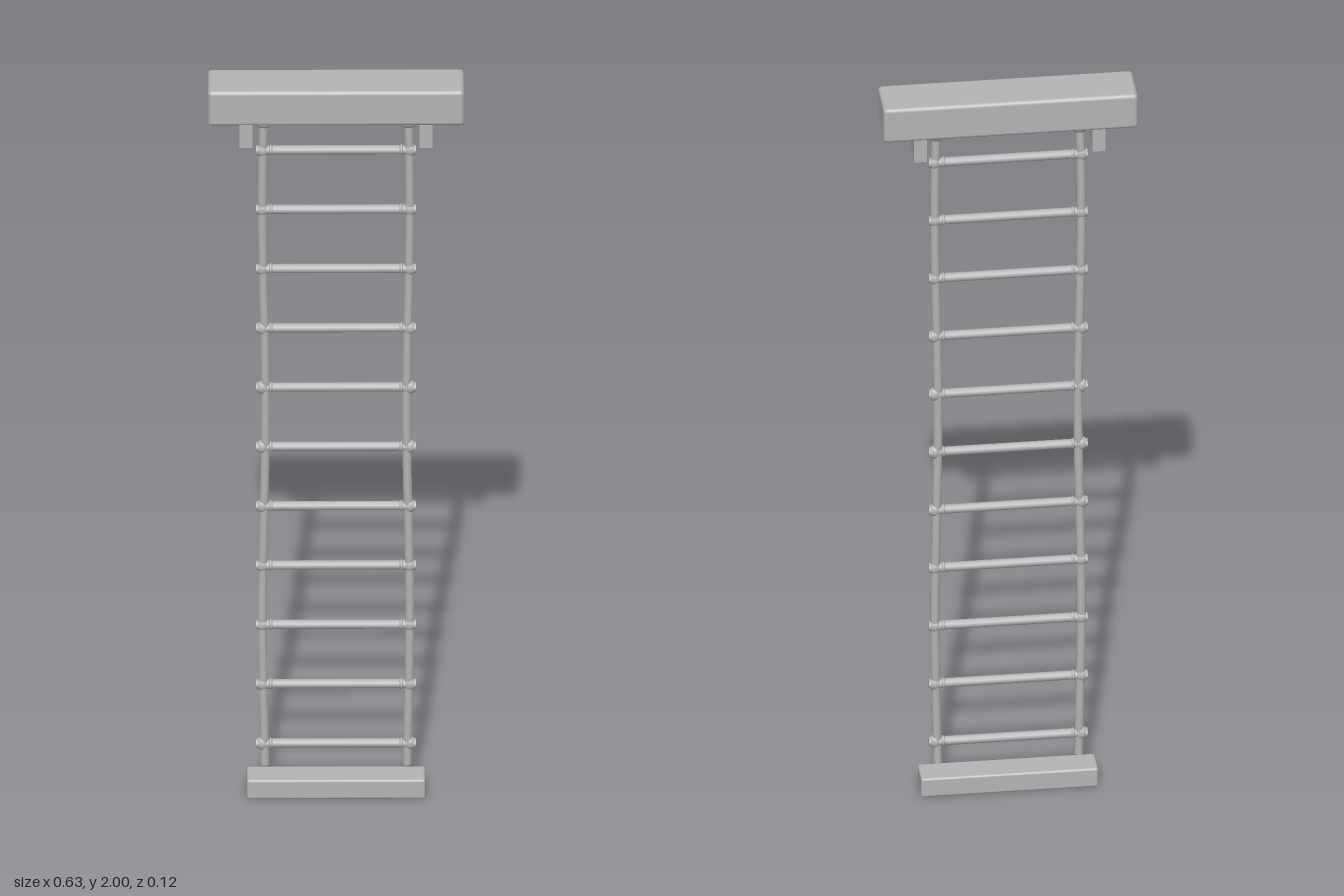
import * as THREE from 'three';
import { RoundedBoxGeometry } from 'three/addons/geometries/RoundedBoxGeometry.js';

export function createModel() {
  const root = new THREE.Group();
  root.name = 'ropeLadder';
  const grey = new THREE.MeshStandardMaterial({ color: 0xb4b4b4 });
  grey.name = 'plain grey';

  const add = (name, geometry, x, y, z = 0) => {
    const mesh = new THREE.Mesh(geometry, grey);
    mesh.name = name;
    mesh.position.set(x, y, z);
    root.add(mesh);
    return mesh;
  };

  // Top beam and foot bar
  add('topBeam', new RoundedBoxGeometry(0.632, 0.096, 0.124, 3, 0.01), 0, 1.952);
  add('footBar', new RoundedBoxGeometry(0.44, 0.053, 0.076, 3, 0.006), 0, 0.0265);

  const rungCount = 11, firstRung = 0.138, rungGap = 0.1667, ropeX = 0.178;

  for (const side of [-1, 1]) {
    // Bracket plates under the beam
    add('bracket', new THREE.BoxGeometry(0.032, 0.08, 0.074), side * 0.222, 1.87);

    // Slightly wavy side rope, closed at the loose lower end
    const points = [];
    for (let i = 0; i <= 22; i++) {
      const y = 0.08 + (i / 22) * 1.83;
      points.push(new THREE.Vector3(side * (ropeX + 0.004 * Math.sin(y * 5.5 - 1.2)), y, 0));
    }
    const curve = new THREE.CatmullRomCurve3(points);
    add('sideRope', new THREE.TubeGeometry(curve, 88, 0.0115, 10, false), 0, 0);
    const end = add('ropeEnd', new THREE.CircleGeometry(0.0115, 10), points[0].x, 0.08);
    end.rotation.x = Math.PI / 2;

    // Knot where the rope meets the beam
    const knot = add('topKnot', new THREE.SphereGeometry(0.024, 16, 10), side * ropeX, 1.888);
    knot.scale.set(1, 0.85, 0.8);
  }

  // Rungs with a rope binding at both ends
  for (let i = 0; i < rungCount; i++) {
    const y = firstRung + i * rungGap;
    const rung = add('rung', new THREE.CylinderGeometry(0.0115, 0.0115, 0.394, 12), 0, y);
    rung.rotation.z = Math.PI / 2;
    for (const side of [-1, 1]) {
      const binding = add('rungBinding', new THREE.SphereGeometry(0.017, 12, 8), side * 0.182, y);
      binding.scale.set(0.95, 1.05, 0.85);
      const wrap = add('ropeWrap', new THREE.TorusGeometry(0.0095, 0.0045, 6, 14), side * 0.161, y);
      wrap.rotation.y = Math.PI / 2;
    }
  }
  return root;
}
